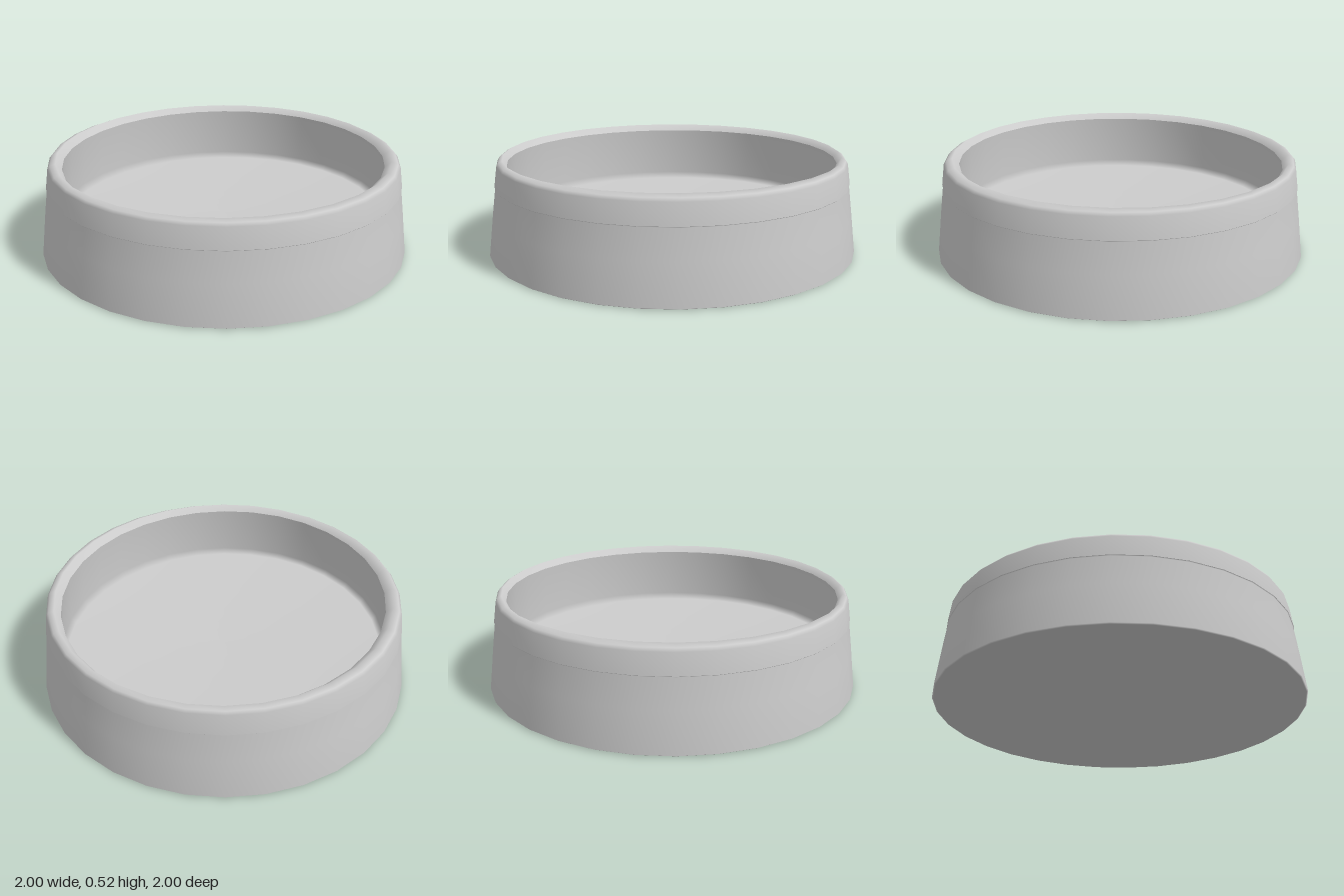
import * as THREE from 'three';

const SIDES = 32;
const material = new THREE.MeshStandardMaterial({ color: 0xcccccc });

// Revolve a profile of [radius, height] pairs around y
function turned(name, profile) {
  const points = profile.map(([r, y]) => new THREE.Vector2(r, y));
  const mesh = new THREE.Mesh(new THREE.LatheGeometry(points, SIDES), material);
  mesh.name = name;
  return mesh;
}

// Make the inside opening slightly oval, fading in from the outer edge
function ovalInside(mesh) {
  const p = mesh.geometry.attributes.position;
  for (let i = 0; i < p.count; i++) {
    const x = p.getX(i), z = p.getZ(i);
    const t = THREE.MathUtils.clamp((0.94 - Math.hypot(x, z)) / 0.065, 0, 1);
    p.setX(i, x * (1 - 0.017 * t));
    p.setZ(i, z * (1 + 0.017 * t));
  }
  return mesh;
}

export function createModel() {
  const bowl = new THREE.Group();
  bowl.name = 'bowl';

  // Flat base and tapered wall, ending in a tiny ledge under the rim
  bowl.add(turned('body', [
    [0, 0], [0.992, 0], [1, 0.005], [0.975, 0.22], [0.955, 0.375], [0.959, 0.379],
  ]));

  // Band around the top with a chamfered lip
  bowl.add(ovalInside(turned('rim', [
    [0.959, 0.379], [0.944, 0.49], [0.932, 0.506], [0.905, 0.519], [0.875, 0.487],
  ])));

  // Slightly undercut inner wall down to a raised, nearly flat floor
  bowl.add(ovalInside(turned('dish', [
    [0.875, 0.487], [0.895, 0.21], [0.875, 0.177], [0, 0.165],
  ])));

  return bowl;
}
